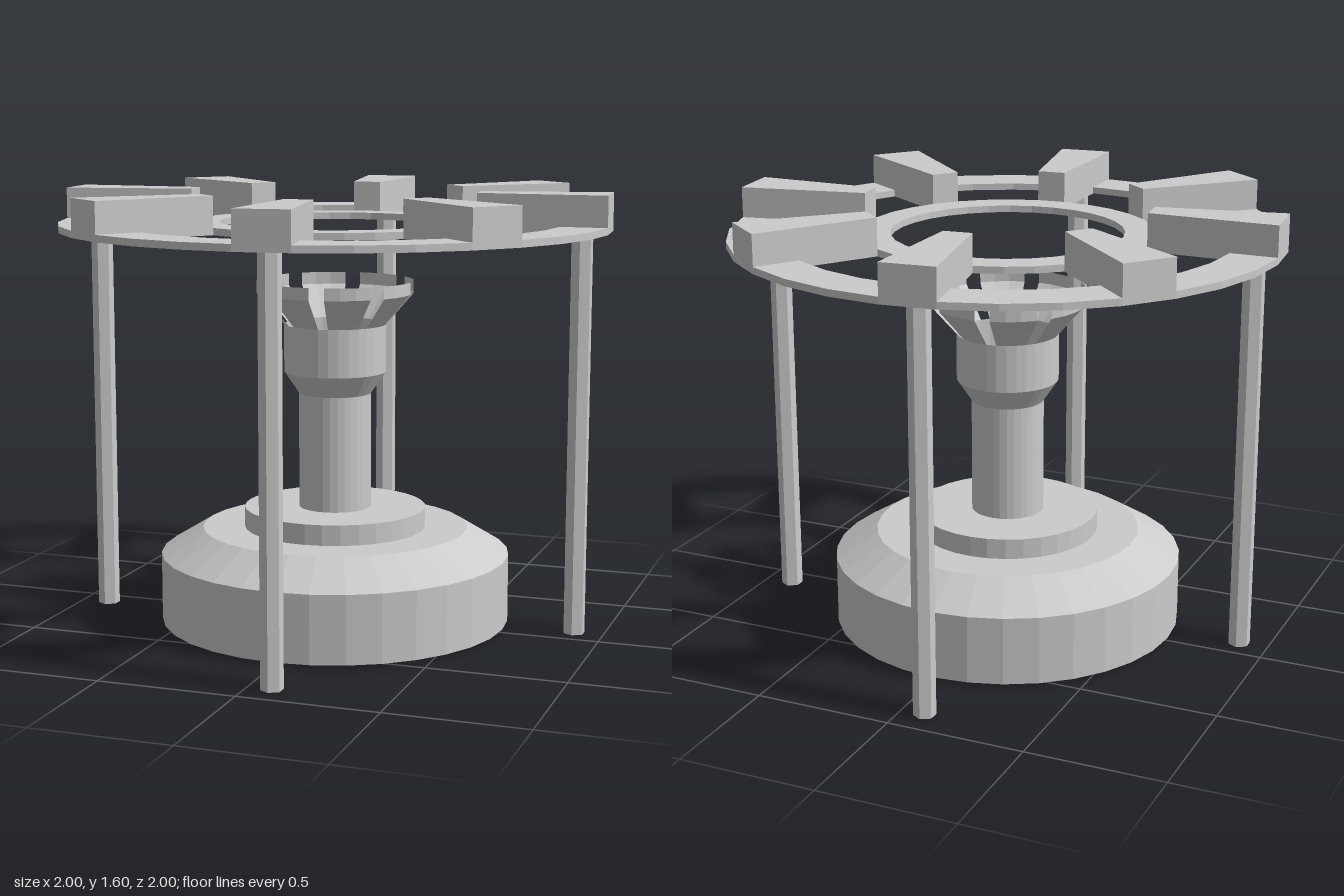
import * as THREE from 'three';

const SIDES = 32;                     // facets per full turn
const STEP = (Math.PI * 2) / SIDES;   // one facet
const REPEATS = 8;                    // wedges on the grate, slots in the flare

const solid = new THREE.MeshStandardMaterial({ color: 0xcccccc, flatShading: true });
const sheet = new THREE.MeshStandardMaterial({ color: 0xcccccc, flatShading: true, side: THREE.DoubleSide });

function add(parent, name, geometry, material = solid) {
  const mesh = new THREE.Mesh(geometry, material);
  mesh.name = name;
  parent.add(mesh);
  return mesh;
}

// Surface of revolution through [radius, height] pairs, listed bottom to top
function lathe(profile, segments = SIDES, start = 0) {
  const points = profile.map(([r, y]) => new THREE.Vector2(r, y));
  return new THREE.LatheGeometry(points, segments, start, segments * STEP);
}

// Flat-topped block covering a number of facets between two radii
function sector(inner, outer, bottom, top, first, count) {
  const corners = [];
  const corner = (r, i) => corners.push(new THREE.Vector2(r * Math.cos(i * STEP), r * Math.sin(i * STEP)));
  for (let i = 0; i <= count; i++) corner(outer, first + i);
  for (let i = count; i >= 0; i--) corner(inner, first + i);
  const geometry = new THREE.ExtrudeGeometry(new THREE.Shape(corners), { depth: top - bottom, bevelEnabled: false });
  return geometry.rotateX(-Math.PI / 2).translate(0, bottom, 0);
}

export function createModel() {
  const model = new THREE.Group();
  model.name = 'burnerStand';

  // Chamfered base with a raised step
  add(model, 'base', lathe([
    [0, 0.01], [0.645, 0.01], [0.645, 0.26], [0.49, 0.355],
    [0.335, 0.355], [0.335, 0.43], [0, 0.43],
  ]));

  // Stem widening into an open cup, with the cup floor inside
  add(model, 'stem', lathe([[0.133, 0.43], [0.133, 0.855], [0.187, 0.935], [0.187, 1.11]]), sheet);
  add(model, 'cupFloor', lathe([[0.133, 0.855], [0, 0.855]]), sheet);

  // Slotted flare: thin petals with an upright rim
  const flare = new THREE.Group();
  flare.name = 'flare';
  model.add(flare);

  // Grate: inner ring, wedge spokes and the outer ring between them
  const grate = new THREE.Group();
  grate.name = 'grate';
  model.add(grate);

  const plate = [1.46, 1.485];
  for (let k = 0; k < REPEATS; k++) {
    const first = k * 4;
    add(flare, 'petal', lathe([[0.187, 1.11], [0.287, 1.225], [0.287, 1.27]], 3, (first + 1) * STEP + Math.PI / 2), sheet);
    add(grate, 'wedge', sector(0.53, 1, plate[0], 1.597, first, 1));
    add(grate, 'outerRing', sector(0.83, 1, ...plate, first + 1, 3));
  }
  add(grate, 'innerRing', lathe([
    [0.42, plate[0]], [0.53, plate[0]], [0.53, plate[1]], [0.42, plate[1]], [0.42, plate[0]],
  ]));

  // Four six-sided legs, each under the middle of a wedge
  for (let k = 0; k < 4; k++) {
    const angle = k * Math.PI / 2 + STEP / 2;
    const leg = add(model, 'leg', new THREE.CylinderGeometry(0.04, 0.04, 1.46, 6));
    leg.position.set(0.897 * Math.cos(angle), 0.73, -0.897 * Math.sin(angle));
  }

  return model;
}
